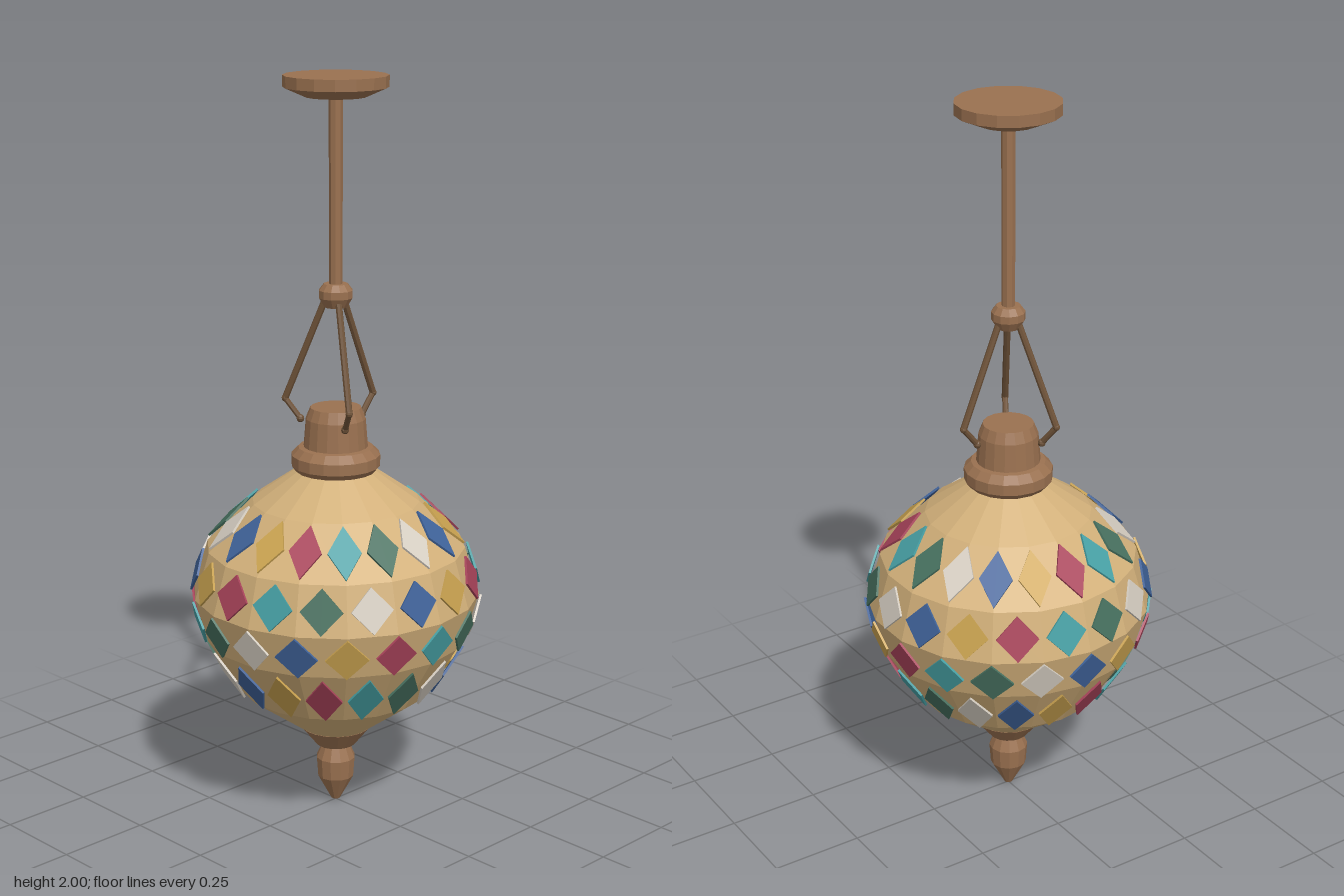
import * as THREE from 'three';

const mat = (name, color) => {
  const m = new THREE.MeshStandardMaterial({ color });
  m.name = name;
  return m;
};

// Faceted copy of a geometry
const facet = (g) => {
  const f = g.toNonIndexed();
  f.computeVertexNormals();
  return f;
};

const lathe = (name, points, sides, material) => {
  const profile = points.map(([r, y]) => new THREE.Vector2(r, y));
  const mesh = new THREE.Mesh(facet(new THREE.LatheGeometry(profile, sides)), material);
  mesh.name = name;
  return mesh;
};

// Straight rod between two points
const rod = (name, a, b, radius, material) => {
  const dir = b.clone().sub(a);
  const mesh = new THREE.Mesh(facet(new THREE.CylinderGeometry(radius, radius, dir.length(), 8)), material);
  mesh.position.copy(a).add(b).multiplyScalar(0.5);
  mesh.quaternion.setFromUnitVectors(new THREE.Vector3(0, 1, 0), dir.normalize());
  mesh.name = name;
  return mesh;
};

export function createModel() {
  const model = new THREE.Group();
  model.name = 'hangingLantern';
  const copper = mat('copper', 0x9a7150);
  const bronze = mat('darkBronze', 0x6e5238);
  const amber = mat('amberGlass', 0xd2b07a);
  const tileMats = [
    mat('whiteGlass', 0xd6cec2), mat('blueGlass', 0x3f6299), mat('yellowGlass', 0xc9a250),
    mat('redGlass', 0xa8435a), mat('tealGlass', 0x469fa3), mat('greenGlass', 0x47705f),
  ];

  // Ceiling canopy, stem and collar
  model.add(lathe('canopy', [[0, 1.945], [0.08, 1.945], [0.137, 1.97], [0.137, 2], [0, 2]], 16, copper));
  model.add(rod('stem', new THREE.Vector3(0, 1.42, 0), new THREE.Vector3(0, 1.96, 0), 0.018, copper));
  model.add(lathe('collar',
    [[0, 1.4], [0.03, 1.4], [0.045, 1.425], [0.045, 1.445], [0.032, 1.462], [0, 1.462]], 12, copper));

  // Three bent hanger arms
  for (let i = 0; i < 3; i++) {
    const arm = new THREE.Group();
    arm.name = 'hangerArm';
    const top = new THREE.Vector3(0.026, 1.425, 0);
    const bend = new THREE.Vector3(0.14, 1.145, 0);
    const foot = new THREE.Vector3(0.098, 1.092, 0);
    arm.add(rod('armRod', top, bend, 0.009, bronze));
    arm.add(rod('armHook', bend, foot, 0.008, bronze));
    for (const [p, r] of [[bend, 0.01], [foot, 0.011]]) {
      const knob = new THREE.Mesh(facet(new THREE.SphereGeometry(r, 8, 6)), bronze);
      knob.position.copy(p);
      knob.name = 'armKnob';
      arm.add(knob);
    }
    arm.rotation.y = (i * Math.PI * 2) / 3;
    model.add(arm);
  }

  // Stepped cap above the globe
  model.add(lathe('cap', [
    [0, 0.955], [0.105, 0.955], [0.119, 0.972], [0.119, 1.002], [0.1, 1.022], [0.086, 1.024],
    [0.08, 1.1], [0.068, 1.13], [0, 1.13]], 18, copper));

  // Faceted glass globe
  const rings = [[0.095, 0.225], [0.26, 0.345], [0.354, 0.5], [0.388, 0.62],
    [0.349, 0.75], [0.225, 0.875], [0.1, 0.962]];
  model.add(lathe('globe', rings, 18, amber));

  // Bottom cup and finial
  model.add(lathe('bottomCup', [[0, 0.172], [0.055, 0.172], [0.098, 0.226], [0, 0.226]], 18, copper));
  model.add(lathe('finial', [
    [0, 0], [0.012, 0.004], [0.05, 0.075], [0.054, 0.13], [0.036, 0.172], [0, 0.172]], 12, copper));

  // Four rows of diamond tiles, one on each band, staggered by half a step
  const rows = [
    { band: 4, width: 0.088, height: 0.155 },
    { band: 3, width: 0.112, height: 0.122 },
    { band: 2, width: 0.114, height: 0.122 },
    { band: 1, width: 0.096, height: 0.166 },
  ];
  const depth = 0.006;
  rows.forEach(({ band, width, height }, row) => {
    const [r0, y0] = rings[band];
    const [r1, y1] = rings[band + 1];
    const w = width / 2, h = height / 2;
    const diamond = new THREE.Shape([[0, -h], [w, 0], [0, h], [-w, 0]].map((p) => new THREE.Vector2(...p)));
    const geo = new THREE.ExtrudeGeometry(diamond, { depth, bevelEnabled: false });
    // Lean with the band, then move out to its middle
    geo.rotateX(Math.atan2(r1 - r0, y1 - y0));
    const len = Math.hypot(r1 - r0, y1 - y0);
    const lift = 0.003;
    geo.translate(0, (y0 + y1) / 2 + (lift * (r0 - r1)) / len, (r0 + r1) / 2 + (lift * (y1 - y0)) / len);
    for (let i = 0; i < 18; i++) {
      const tile = new THREE.Mesh(geo, tileMats[(i + row * 2) % 6]);
      tile.rotation.y = ((i + (row % 2) / 2) * Math.PI * 2) / 18;
      tile.name = 'diamondTile';
      model.add(tile);
    }
  });
  return model;
}
